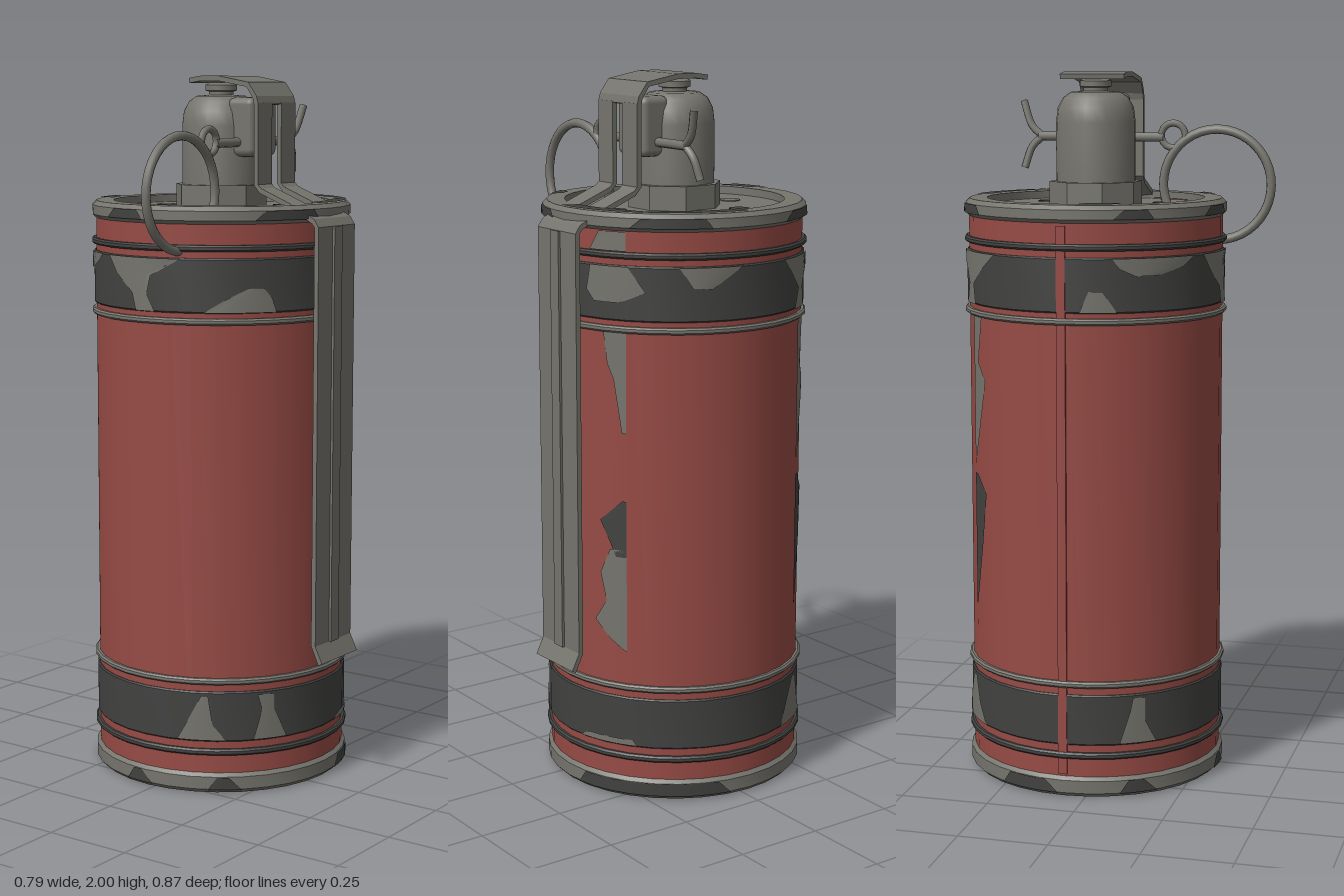
import * as THREE from 'three';
import { toCreasedNormals } from 'three/addons/utils/BufferGeometryUtils.js';
import { RoundedBoxGeometry } from 'three/addons/geometries/RoundedBoxGeometry.js';

const material = (name, color) => {
  const m = new THREE.MeshStandardMaterial({ color });
  m.name = name;
  return m;
};

export function createModel() {
  const red = material('red paint', 0x964a44);
  const grey = material('bare metal grey', 0x75746d);
  const dark = material('dark paint', 0x414240);

  const model = new THREE.Group();
  model.name = 'canister';
  const can = new THREE.Group();
  can.name = 'canBody';
  can.position.set(-0.025, 0, -0.063);
  model.add(can);

  const add = (parent, name, geometry, mat, x = 0, y = 0, z = 0) => {
    const mesh = new THREE.Mesh(geometry, mat);
    mesh.name = name;
    mesh.position.set(x, y, z);
    parent.add(mesh);
    return mesh;
  };
  const lathe = (name, mat, profile, segments = 32) => add(can, name, toCreasedNormals(
    new THREE.LatheGeometry(profile.map(p => new THREE.Vector2(...p)), segments), 0.6), mat);

  // Bevelled hoop between two heights, reaching in to an inner radius
  const hoop = (name, mat, y0, y1, r, inner, b) => lathe(name, mat, [
    [inner, y0], [r - b, y0], [r, y0 + b], [r, y1 - b], [r - b, y1], [inner, y1], [inner, y0],
  ]);

  // Main tube with its closed ends
  lathe('tube', red, [[0, 0.02], [0.36, 0.02], [0.36, 1.615], [0, 1.615]]);
  hoop('bottomRim', grey, 0, 0.06, 0.37, 0.305, 0.012);
  hoop('topRim', grey, 1.6, 1.65, 0.37, 0.308, 0.012);
  hoop('lowerBand', dark, 0.15, 0.295, 0.366, 0.34, 0.004);
  hoop('upperBand', dark, 1.36, 1.51, 0.366, 0.34, 0.004);
  [[0.12, dark], [0.325, grey], [1.337, grey], [1.537, dark]].forEach(([y, mat]) =>
    hoop('bead', mat, y - 0.009, y + 0.009, 0.372, 0.34, 0.005));
  add(can, 'seam', new THREE.BoxGeometry(0.02, 1.53, 0.025), red, -0.356, 0.83, 0);

  // Lid with a circle of six vents
  add(can, 'lid', new THREE.CylinderGeometry(0.312, 0.312, 0.02, 32), grey, 0, 1.618, 0);
  for (let i = 0; i < 6; i++) {
    const a = i * Math.PI / 3;
    add(can, 'vent', new THREE.CylinderGeometry(0.029, 0.029, 0.006, 16), i === 3 ? grey : dark,
      0.196 * Math.cos(a), 1.628, 0.196 * Math.sin(a));
  }

  // Fuse: octagonal nut, domed housing and cap
  const nut = new THREE.CylinderGeometry(0.132, 0.132, 0.08, 8).toNonIndexed();
  nut.computeVertexNormals();
  add(can, 'nut', nut, grey, 0, 1.655, 0).rotation.y = Math.PI / 8;
  lathe('fuseHousing', grey, [[0.112, 1.69], [0.112, 1.86], [0.107, 1.9], [0.092, 1.928],
    [0.07, 1.943], [0, 1.948]], 24);
  lathe('fuseCap', grey, [[0.035, 1.94], [0.035, 1.955], [0.045, 1.958], [0.045, 1.974],
    [0.035, 1.98], [0, 1.98]], 16);
  add(can, 'fuseBracket', new RoundedBoxGeometry(0.09, 0.165, 0.13, 2, 0.02), grey, 0.107, 1.857, 0);

  // Safety lever: folded sheet strips, given by a centre line in x and y
  const strip = (name, path, z0, z1, thick = 0.014) => {
    const pts = path.map(p => new THREE.Vector2(...p));
    const side = s => pts.map((p, i) => {
      const a = pts[Math.max(i - 1, 0)], b = pts[Math.min(i + 1, pts.length - 1)];
      const d = b.clone().sub(a).normalize();
      return new THREE.Vector2(p.x - d.y * s, p.y + d.x * s);
    });
    const shape = new THREE.Shape([...side(thick / 2), ...side(-thick / 2).reverse()]);
    add(model, name, new THREE.ExtrudeGeometry(shape, { depth: z1 - z0, bevelEnabled: false }),
      grey, 0, 0, z0);
  };
  const L = -0.155, R = 0.03;
  strip('leverTop', [[-0.07, 1.986], [-0.03, 1.992], [0.03, 1.992], [0.13, 1.975], [0.155, 1.94],
    [0.16, 1.92]], L, R);
  for (const [z0, z1] of [[L, -0.084], [-0.039, R]])
    strip('leverRail', [[0.16, 1.925], [0.16, 1.7], [0.175, 1.684], [0.285, 1.64]], z0, z1);
  strip('leverHandle', [[0.28, 1.642], [0.35, 1.606], [0.362, 1.59], [0.362, 0.41], [0.386, 0.36]], L, R);
  strip('leverRib', [[0.37, 1.59], [0.37, 0.41]], -0.081, -0.041, 0.012);

  // Pull pin with split ends, eye and ring
  const pinX = 0.077;
  const wire = (name, points, r) => add(model, name, new THREE.TubeGeometry(
    new THREE.CatmullRomCurve3(points.map(p => new THREE.Vector3(...p))), 12, r, 8), grey);
  wire('pin', [[pinX, 1.815, 0.11], [pinX, 1.815, -0.1], [pinX, 1.815, -0.26]], 0.013);
  wire('pinEndUpper', [[pinX, 1.815, -0.25], [0.082, 1.845, -0.283], [0.092, 1.915, -0.31]], 0.011);
  wire('pinEndLower', [[pinX, 1.815, -0.25], [0.072, 1.785, -0.28], [0.062, 1.725, -0.3]], 0.011);
  add(model, 'pinEye', new THREE.TorusGeometry(0.035, 0.01, 8, 20), grey, pinX, 1.82, 0.137)
    .rotation.y = Math.PI / 2;
  add(model, 'pullRing', new THREE.TorusGeometry(0.156, 0.013, 10, 40), grey, pinX, 1.683, 0.265)
    .rotation.y = Math.PI / 2;

  // Worn paint: curved plates from rows of [radius, height, start, end], degrees from +x towards -z
  const patch = (mat, rows) => {
    const n = 8, pos = [], idx = [];
    rows.forEach(([r, y, t0, t1], j) => {
      for (let i = 0; i <= n; i++) {
        const t = THREE.MathUtils.degToRad(t0 + (t1 - t0) * i / n);
        pos.push(r * Math.cos(t), y, -r * Math.sin(t));
        if (j && i) {
          const d = j * (n + 1) + i, c = d - 1, b = d - n - 1, a = b - 1;
          idx.push(a, b, d, a, d, c);
        }
      }
    });
    const g = new THREE.BufferGeometry();
    g.setAttribute('position', new THREE.Float32BufferAttribute(pos, 3));
    g.setIndex(idx);
    g.computeVertexNormals();
    add(can, 'wornPaint', g, mat);
  };
  const sidePatch = (mat, r, rows) => patch(mat, rows.map(row => [r, ...row]));
  const flatPatch = (mat, y, rows) => patch(mat, rows.map(([r, a, b]) => [r, y, a, b]));

  // Chips on the tube
  sidePatch(grey, 0.363, [[1.05, 31, 33], [1.2, 27, 33], [1.24, 24, 33], [1.33, 22, 33]]);
  sidePatch(grey, 0.363, [[0.43, 32, 33], [0.46, 25, 33], [0.51, 17, 33], [0.57, 23, 33],
    [0.65, 20, 33], [0.72, 25, 33]]);
  sidePatch(dark, 0.363, [[0.7, 28, 33], [0.74, 25, 33], [0.8, 20, 33], [0.86, 31, 33]]);
  sidePatch(grey, 0.363, [[0.93, 125, 127], [1.1, 125, 135], [1.15, 125, 137], [1.2, 125, 130],
    [1.33, 125, 134]]);
  sidePatch(dark, 0.363, [[0.5, 125, 126], [0.68, 125, 133], [0.83, 125, 137], [0.88, 125, 128]]);
  sidePatch(grey, 0.363, [[1.548, 15, 33], [1.6, 20, 33]]);

  // Chips on the upper band
  const chips = [
    [[1.46, -148, -138], [1.48, -155, -125], [1.508, -158, -118]],
    [[1.362, -94, -84], [1.41, -96, -88], [1.46, -106, -86], [1.508, -112, -72]],
    [[1.362, -62, -30], [1.4, -52, -32], [1.43, -42, -36]],
    [[1.41, 18, 30], [1.44, 14, 42], [1.508, 16, 34]],
    [[1.362, 118, 130], [1.42, 122, 128], [1.47, 114, 138], [1.508, 108, 146]],
    [[1.45, 62, 70], [1.508, 56, 84]],
    [[1.362, 188, 204], [1.42, 192, 198]],
  ];
  chips.forEach(rows => sidePatch(grey, 0.369, rows));

  // Chips on the lower band
  [
    [[0.155, -153, -147], [0.22, -151, -143], [0.285, -149, -143]],
    [[0.155, -74, -52], [0.2, -70, -58], [0.285, -63, -60]],
    [[0.155, -40, -24], [0.24, -36, -30], [0.285, -38, -30]],
    [[0.155, 8, 38], [0.172, 14, 36]],
    [[0.155, 110, 136], [0.21, 114, 130], [0.285, 121, 126]],
    [[0.155, 205, 222], [0.25, 210, 214]],
  ].forEach(rows => sidePatch(grey, 0.369, rows));

  // Dark paint left on the two rims
  for (const [a, b] of [[8, 80], [-155, -138], [-100, -86], [-60, -45], [150, 178]])
    sidePatch(dark, 0.373, [[0.012, a, b], [0.048, a + 4, b - 6]]);
  for (const [a, b] of [[-158, -140], [-112, -90], [-40, -8], [35, 70], [108, 136]])
    sidePatch(dark, 0.373, [[1.612, a, b], [1.638, a + 5, b - 3]]);
  flatPatch(dark, 1.653, [[0.356, 42, 88], [0.34, 40, 88], [0.312, 64, 88]]);
  flatPatch(dark, 1.653, [[0.357, -6, 42], [0.33, -2, 38], [0.312, -4, 12]]);
  flatPatch(dark, 1.653, [[0.357, 186, 204], [0.312, 190, 208]]);
  flatPatch(dark, 1.653, [[0.357, -60, -46], [0.325, -58, -50]]);

  // Chips on the lid
  flatPatch(red, 1.631, [[0.305, -46, -38], [0.24, -42, -34]]);
  flatPatch(dark, 1.631, [[0.307, -37, -18], [0.27, -37, -26]]);
  flatPatch(dark, 1.631, [[0.307, -132, -110], [0.25, -128, -116]]);
  flatPatch(dark, 1.631, [[0.307, 134, 150], [0.28, 138, 146]]);
  return model;
}
